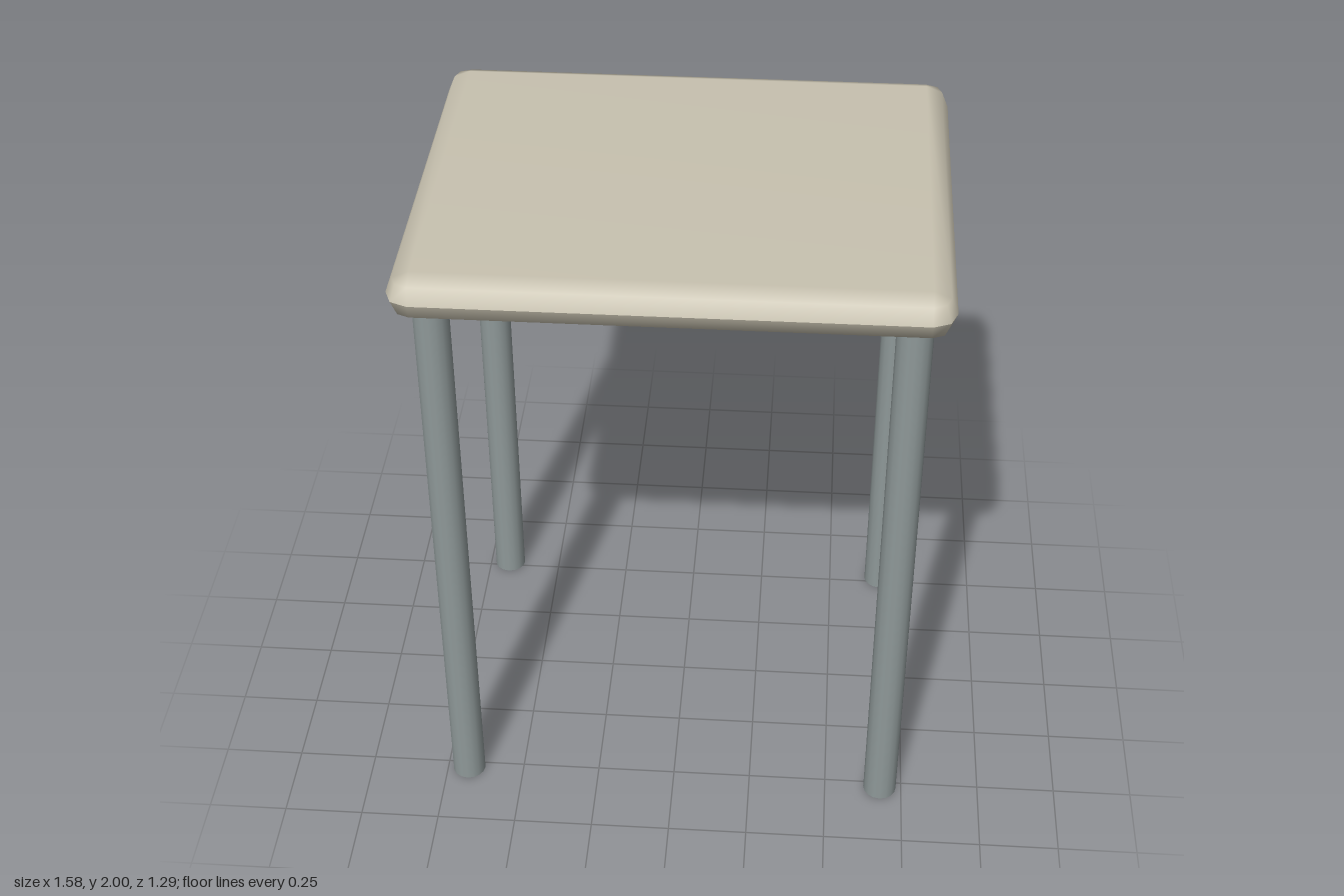
import * as THREE from 'three';
import { mergeVertices } from 'three/addons/utils/BufferGeometryUtils.js';

const WIDTH = 1.58, DEPTH = 1.29, RADIUS = 0.07, STEPS = 2;
const SEAT_Y = 1.93;

// Upper half of a bevelled slab: rounded-rectangle rings rising to a flat top
function halfSlab() {
  const pos = [], index = [];
  const perCorner = STEPS + 1, n = perCorner * 4;
  for (let k = 0; k <= STEPS; k++) {
    const lat = (k / STEPS) * Math.PI / 2;
    const r = RADIUS * Math.cos(lat), y = RADIUS * Math.sin(lat);
    for (let c = 0; c < 4; c++) {
      const sx = c === 0 || c === 3 ? 1 : -1, sz = c < 2 ? 1 : -1;
      for (let j = 0; j <= STEPS; j++) {
        const t = (c + j / STEPS) * Math.PI / 2;
        pos.push(sx * (WIDTH / 2 - RADIUS) + r * Math.cos(t), y, sz * (DEPTH / 2 - RADIUS) + r * Math.sin(t));
      }
    }
  }
  for (let k = 0; k < STEPS; k++) {
    for (let i = 0; i < n; i++) {
      const a = k * n + i, b = k * n + (i + 1) % n;
      index.push(a, a + n, b, b, a + n, b + n);
    }
  }
  // Flat face between the four corner points
  const [p, q, r, s] = [0, 1, 2, 3].map((c) => STEPS * n + c * perCorner);
  index.push(p, s, r, p, r, q);

  let geo = new THREE.BufferGeometry();
  geo.setAttribute('position', new THREE.Float32BufferAttribute(pos, 3));
  geo.setIndex(index);
  geo = mergeVertices(geo);
  geo.computeVertexNormals();
  return geo;
}

export function createModel() {
  const model = new THREE.Group();
  model.name = 'stool';
  const seatMaterial = new THREE.MeshStandardMaterial({ color: 0xc8c2b0 });
  const legMaterial = new THREE.MeshStandardMaterial({ color: 0x8f9999 });

  // Seat: two mirrored halves meeting at a crisp middle seam
  const seat = new THREE.Group();
  seat.name = 'seat';
  const upper = new THREE.Mesh(halfSlab(), seatMaterial);
  upper.name = 'seatUpper';
  const lower = new THREE.Mesh(halfSlab().rotateX(Math.PI), seatMaterial);
  lower.name = 'seatLower';
  seat.add(upper, lower);
  seat.position.y = SEAT_Y;
  model.add(seat);

  // Four straight round legs
  const legHeight = 1.87;
  const legGeometry = new THREE.CylinderGeometry(0.053, 0.053, legHeight, 16);
  for (const [zName, z] of [['front', 0.52], ['back', -0.52]]) {
    for (const [xName, x] of [['Left', 0.68], ['Right', -0.68]]) {
      const leg = new THREE.Mesh(legGeometry, legMaterial);
      leg.name = `${zName}${xName}Leg`;
      leg.position.set(x, legHeight / 2, z);
      model.add(leg);
    }
  }
  return model;
}
